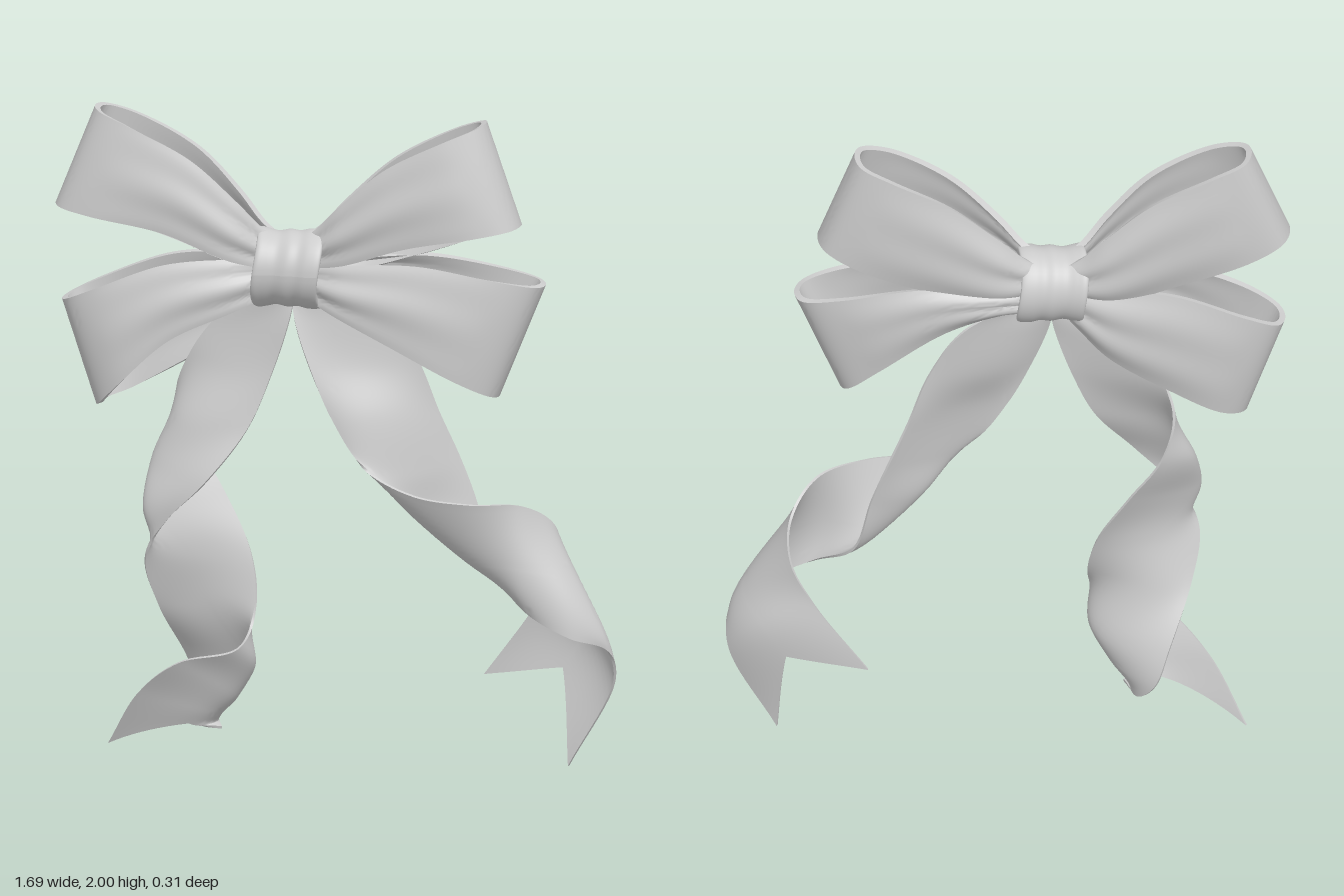
import * as THREE from 'three';
import { toCreasedNormals } from 'three/addons/utils/BufferGeometryUtils.js';

const satin = new THREE.MeshStandardMaterial({ color: 0xcccccc });
satin.name = 'grey satin';

// Thin solid ribbon. Each station is [edge A, middle, edge B] as nine numbers;
// notch cuts a swallowtail into the far end, ripple adds pleats.
function ribbon(name, stations, { thick = 0.012, notch = 0, ripple = () => 0, nu = 100, nv = 20 } = {}) {
  const [A, M, B] = [0, 3, 6].map(o =>
    new THREE.CatmullRomCurve3(stations.map(s => new THREE.Vector3(s[o], s[o + 1], s[o + 2]))));
  const at = (u, v) => {
    const w = THREE.MathUtils.clamp(u * (1 - notch * (1 - Math.abs(2 * v - 1))), 0, 1);
    const p = A.getPoint(w).multiplyScalar((1 - v) * (1 - 2 * v))
      .addScaledVector(M.getPoint(w), 4 * v * (1 - v))
      .addScaledVector(B.getPoint(w), v * (2 * v - 1));
    p.z += ripple(w, v);
    return p;
  };
  const pos = [], index = [], K = 2 * nv + 2, e = 0.004;
  for (let i = 0; i <= nu; i++) {
    for (let k = 0; k < K; k++) {
      const front = k <= nv, u = i / nu, v = (front ? k : K - 1 - k) / nv;
      const du = at(Math.min(u + e, 1), v).sub(at(Math.max(u - e, 0), v));
      const dv = at(u, Math.min(v + e, 1)).sub(at(u, Math.max(v - e, 0)));
      const n = du.cross(dv).normalize();
      const p = at(u, v).addScaledVector(n, (front ? 0.5 : -0.5) * thick);
      pos.push(p.x, p.y, p.z);
      if (i < nu) {
        const k2 = (k + 1) % K, a = i * K + k, b = a + K, c = (i + 1) * K + k2, d = i * K + k2;
        index.push(a, b, c, a, c, d);
      }
    }
  }
  // end caps
  for (let k = 0; k < nv; k++) {
    const q = [k, k + 1, K - 2 - k, K - 1 - k], r = q.map(j => j + nu * K);
    index.push(q[0], q[1], q[2], q[0], q[2], q[3], r[0], r[2], r[1], r[0], r[3], r[2]);
  }
  const geo = new THREE.BufferGeometry();
  geo.setAttribute('position', new THREE.Float32BufferAttribute(pos, 3));
  geo.setIndex(index);
  const mesh = new THREE.Mesh(toCreasedNormals(geo, 1), satin);
  mesh.name = name;
  return mesh;
}

// Bow loop: leaves the knot in front, turns at the tip and returns behind.
// top and bottom are the edges from knot to tip, in x and y.
const PATH = [[0, 0.04], [0.2, 0.065], [0.4, 0.1], [0.65, 0.125], [0.88, 0.12], [0.98, 0.075], [1, 0.02],
  [0.98, -0.04], [0.88, -0.075], [0.65, -0.083], [0.4, -0.07], [0.2, -0.045], [0, -0.02]];
function loop(name, top, bottom, backDrop) {
  const curve = pts => new THREE.CatmullRomCurve3(pts.map(([x, y]) => new THREE.Vector3(x, y, 0)));
  const T = curve(top), B = curve(bottom);
  const stations = PATH.map(([s, z], i) => {
    const t = T.getPoint(s), b = B.getPoint(s);
    if (i > 6) b.y -= backDrop * Math.sin(Math.PI * s ** 1.4);
    const zt = z * (0.9 - 0.3 * (1 - s)), zb = z * (0.8 + 0.2 * s) + 0.02 * s;
    const puff = 0.022 * Math.sign(z) * Math.sin(Math.PI * s);
    return [t.x, t.y, zt, (t.x + b.x) / 2, (t.y + b.y) / 2, (zt + zb) / 2 + puff, b.x, b.y, zb];
  });
  // pleats gathered at the knot, fading towards the tip
  const ripple = (u, v) => {
    const s = 1 - Math.abs(2 * u - 1);
    return 0.009 * Math.sin(Math.min(1, s * 3) * Math.PI / 2) * Math.max(0, 1 - s * 1.4) * Math.sin(v * 13 + 1);
  };
  return ribbon(name, stations, { thick: 0.018, ripple });
}

// Gathered band around the middle
function makeKnot() {
  const profile = [[0.07, -0.092], [0.108, -0.101], [0.119, -0.092], [0.12, -0.06], [0.114, -0.03],
    [0.117, 0], [0.111, 0.035], [0.117, 0.065], [0.121, 0.09], [0.11, 0.1], [0.07, 0.092]]
    .map(p => new THREE.Vector2(...p));
  const geo = new THREE.LatheGeometry(new THREE.SplineCurve(profile).getPoints(50), 48);
  geo.rotateZ(Math.PI / 2);
  const p = geo.attributes.position;
  for (let i = 0; i < p.count; i++) {
    const a = Math.atan2(p.getZ(i), p.getY(i));
    p.setX(i, p.getX(i) + 0.008 * Math.sin(2 * a));
  }
  geo.computeVertexNormals();
  const knot = new THREE.Mesh(geo, satin);
  knot.name = 'knot';
  knot.scale.z = 0.93;
  knot.position.set(-0.134, 1.527, 0.025);
  return knot;
}

export function createModel() {
  const bow = new THREE.Group();
  bow.name = 'ribbonBow';
  bow.add(makeKnot());

  bow.add(
    loop('upperRightLoop',
      [[-0.15, 1.6], [-0.24, 1.665], [-0.34, 1.785], [-0.5, 1.91], [-0.72, 1.997]],
      [[-0.15, 1.53], [-0.26, 1.545], [-0.52, 1.65], [-0.835, 1.7]], 0.07),
    loop('upperLeftLoop',
      [[-0.12, 1.6], [-0.03, 1.665], [0.08, 1.785], [0.24, 1.905], [0.45, 1.997]],
      [[-0.12, 1.54], [-0.01, 1.55], [0.25, 1.635], [0.56, 1.69]], 0.07),
    loop('lowerRightLoop',
      [[-0.15, 1.53], [-0.26, 1.55], [-0.52, 1.53], [-0.82, 1.405]],
      [[-0.15, 1.47], [-0.26, 1.42], [-0.5, 1.305], [-0.71, 1.09]], 0.12),
    loop('lowerLeftLoop',
      [[-0.12, 1.53], [-0.01, 1.545], [0.28, 1.565], [0.63, 1.51]],
      [[-0.12, 1.46], [-0.01, 1.415], [0.2, 1.32], [0.495, 1.17]], -0.09));

  // Twisted hanging tails
  bow.add(ribbon('rightTail', [
    [-0.2, 1.5, 0, -0.16, 1.48, 0.02, -0.12, 1.47, 0],
    [-0.37, 1.35, -0.02, -0.26, 1.35, 0, -0.14, 1.36, 0.02],
    [-0.45, 1.235, -0.03, -0.32, 1.2, 0.01, -0.19, 1.2, 0.03],
    [-0.495, 1.1, -0.065, -0.45, 1.04, 0.03, -0.26, 1.03, 0.06],
    [-0.46, 0.97, -0.1, -0.555, 0.91, 0.01, -0.38, 0.87, 0.11],
    [-0.36, 0.81, -0.08, -0.565, 0.78, 0.03, -0.5, 0.745, 0.09],
    [-0.265, 0.63, -0.03, -0.44, 0.62, -0.01, -0.57, 0.62, 0.055],
    [-0.24, 0.48, 0.03, -0.39, 0.47, -0.03, -0.545, 0.46, -0.02],
    [-0.275, 0.37, 0.11, -0.265, 0.28, -0.01, -0.48, 0.29, -0.12],
    [-0.46, 0.31, 0.085, -0.3, 0.2, 0.02, -0.44, 0.18, -0.145],
    [-0.6, 0.19, 0, -0.38, 0.15, 0.03, -0.39, 0.11, -0.1],
    [-0.71, 0.003, -0.1, -0.5, 0.07, 0, -0.345, 0.095, 0.01],
  ], { thick: 0.008, notch: 0.04 }));

  bow.add(ribbon('leftTail', [
    [-0.14, 1.47, 0, -0.1, 1.47, 0.02, -0.06, 1.48, 0],
    [-0.12, 1.36, 0.03, 0, 1.36, 0, 0.13, 1.4, -0.04],
    [-0.07, 1.22, 0.05, 0.07, 1.22, 0, 0.235, 1.25, -0.05],
    [0, 1.07, 0.06, 0.13, 1.08, 0.03, 0.3, 1.08, -0.065],
    [0.1, 0.93, 0.075, 0.2, 0.9, 0.03, 0.36, 0.94, -0.08],
    [0.25, 0.86, 0.1, 0.25, 0.78, 0.02, 0.41, 0.81, -0.08],
    [0.42, 0.84, 0.1, 0.41, 0.65, 0.03, 0.46, 0.63, -0.06],
    [0.57, 0.825, 0.03, 0.56, 0.64, 0.07, 0.58, 0.51, 0.05],
    [0.65, 0.74, -0.07, 0.7, 0.6, 0.03, 0.72, 0.435, 0.07],
    [0.65, 0.62, -0.12, 0.79, 0.47, -0.03, 0.82, 0.39, 0.01],
    [0.58, 0.48, -0.14, 0.73, 0.39, -0.12, 0.835, 0.28, -0.05],
    [0.42, 0.255, -0.155, 0.57, 0.15, -0.13, 0.69, 0.003, -0.08],
  ], { thick: 0.008, notch: 0.05 }));

  return bow;
}
